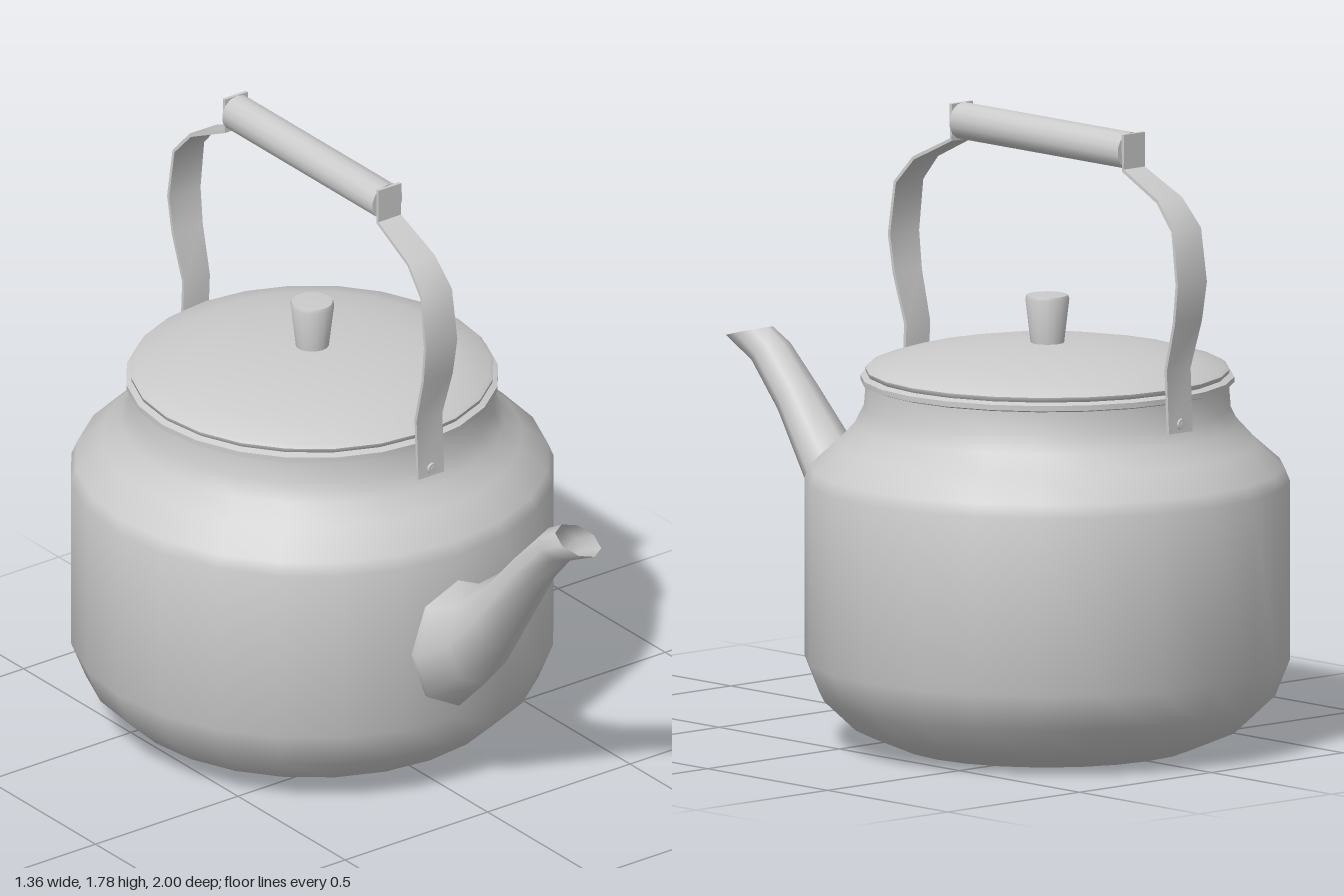
import * as THREE from 'three';
import { toCreasedNormals } from 'three/addons/utils/BufferGeometryUtils.js';

const CENTER_Z = -0.318;
const material = new THREE.MeshStandardMaterial({ color: 0xcccccc });
const openMaterial = new THREE.MeshStandardMaterial({ color: 0xcccccc, side: THREE.DoubleSide });

function part(name, geometry, parent, mat = material) {
  const mesh = new THREE.Mesh(geometry, mat);
  mesh.name = name;
  parent.add(mesh);
  return mesh;
}

// Revolve [radius, height] pairs around the vertical axis
function lathe(profile, sides, crease = 0.9) {
  const points = profile.map(([r, y]) => new THREE.Vector2(r, y));
  return toCreasedNormals(new THREE.LatheGeometry(points, sides), crease);
}

// Skin a row of closed rings, optionally closing both ends
function loft(rings, capped, crease) {
  const n = rings[0].length;
  const index = [];
  for (let i = 0; i < rings.length - 1; i++) {
    for (let j = 0; j < n; j++) {
      const a = i * n + j, b = i * n + (j + 1) % n;
      index.push(a, b, b + n, a, b + n, a + n);
    }
  }
  if (capped) {
    const last = (rings.length - 1) * n;
    for (let j = 1; j < n - 1; j++) {
      index.push(0, j + 1, j, last, last + j, last + j + 1);
    }
  }
  const geometry = new THREE.BufferGeometry();
  geometry.setAttribute('position', new THREE.Float32BufferAttribute(rings.flat(2), 3));
  geometry.setIndex(index);
  return toCreasedNormals(geometry, crease);
}

// Spout: each section runs from its lower edge to its upper edge
function spoutGeometry() {
  // lower z, lower y, upper z, upper y, half width
  const sections = [
    [0.30, 0.28, 0.30, 0.67, 0.15],
    [0.367, 0.28, 0.367, 0.673, 0.15],
    [0.48, 0.39, 0.46, 0.70, 0.115],
    [0.58, 0.54, 0.56, 0.775, 0.094],
    [0.76, 0.81, 0.68, 0.90, 0.072],
    [0.88, 0.94, 0.785, 1.005, 0.062],
    [1.0, 1.0, 0.845, 1.04, 0.056],
  ];
  const rings = sections.map(([z0, y0, z1, y1, w]) =>
    Array.from({ length: 8 }, (_, j) => {
      const a = j * Math.PI / 4;
      const t = (Math.sin(a) + 1) / 2;
      return [w * Math.cos(a), y0 + (y1 - y0) * t, z0 + (z1 - z0) * t];
    }));
  return loft(rings, false, 1.05);
}

// Bent metal strap of varying width
function strapGeometry() {
  // distance from the axis, height, half width
  const path = [
    [0.551, 0.95, 0.045], [0.542, 1.13, 0.045], [0.583, 1.27, 0.051],
    [0.599, 1.38, 0.055], [0.578, 1.53, 0.052], [0.508, 1.606, 0.046],
    [0.358, 1.676, 0.04], [0.358, 1.778, 0.04],
  ];
  const half = 0.005;
  const rings = path.map(([z, y, w], i) => {
    const p = path[Math.max(i - 1, 0)], q = path[Math.min(i + 1, path.length - 1)];
    const length = Math.hypot(q[0] - p[0], q[1] - p[1]);
    const ny = half * (q[0] - p[0]) / length, nz = -half * (q[1] - p[1]) / length;
    return [[w, y - ny, z - nz], [w, y + ny, z + nz], [-w, y + ny, z + nz], [-w, y - ny, z - nz]];
  });
  return loft(rings, true, 0.9);
}

// Cylinder lying along z
function rod(radius, length, sides) {
  return new THREE.CylinderGeometry(radius, radius, length, sides).rotateX(Math.PI / 2);
}

export function createModel() {
  const kettle = new THREE.Group();
  kettle.name = 'kettle';

  const vessel = new THREE.Group();
  vessel.name = 'vessel';
  vessel.position.z = CENTER_Z;
  kettle.add(vessel);

  // Body with rounded base, shoulder, neck and rolled rim
  part('body', lathe([
    [0, 0], [0.42, 0], [0.55, 0.055], [0.64, 0.14], [0.682, 0.245], [0.682, 0.75],
    [0.667, 0.787], [0.59, 0.855], [0.54, 0.91], [0.515, 0.96], [0.51, 1.025],
    [0.525, 1.03], [0.525, 1.045], [0.505, 1.052],
  ], 24), vessel, openMaterial);

  // Lid with a low dome and a tucked-under edge
  part('lid', lathe([
    [0.47, 1.03], [0.495, 1.045], [0.51, 1.055], [0.512, 1.066], [0.50, 1.075],
    [0.41, 1.102], [0.28, 1.126], [0.14, 1.138], [0, 1.141],
  ], 24), vessel, openMaterial);

  part('lidKnob', lathe([
    [0.046, 1.13], [0.062, 1.265], [0.058, 1.275], [0, 1.277],
  ], 16), vessel);

  // Handle: two mirrored straps with rivets, joined by a grip
  const handle = new THREE.Group();
  handle.name = 'handle';
  vessel.add(handle);
  for (const [name, turn] of [['front', 0], ['back', Math.PI]]) {
    const side = new THREE.Group();
    side.name = name + 'HandleSide';
    side.rotation.y = turn;
    handle.add(side);
    part('strap', strapGeometry(), side);
    part('rivetPin', rod(0.008, 0.065, 8), side).position.set(0, 0.975, 0.533);
    for (const z of [0.535, 0.56]) {
      part('rivetHead', rod(0.016, 0.008, 10), side).position.set(0, 0.975, z);
    }
  }
  part('grip', toCreasedNormals(rod(0.053, 0.7, 14), 0.9), handle).position.y = 1.727;

  part('spout', spoutGeometry(), kettle, openMaterial);

  return kettle;
}
